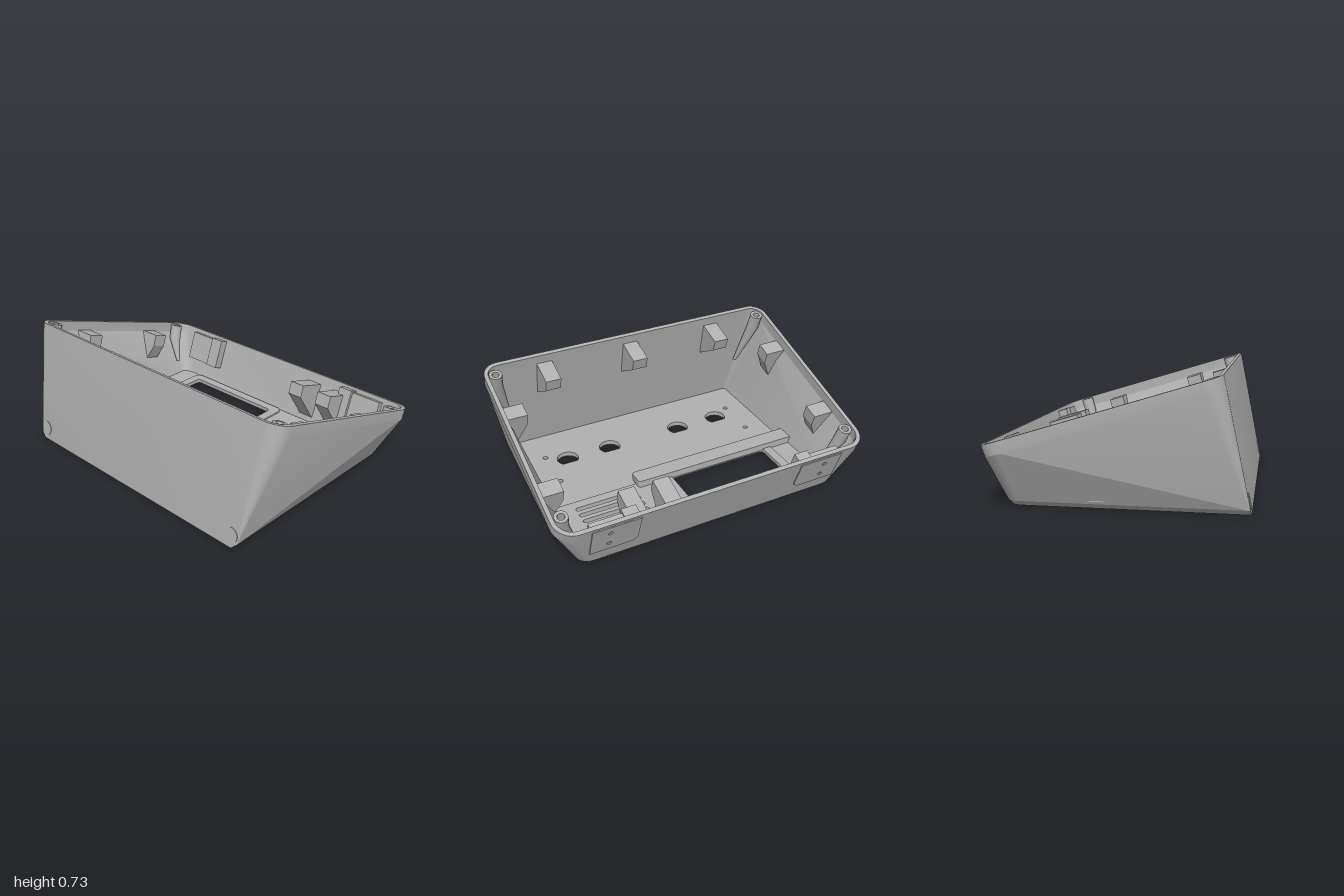
import * as THREE from 'three';
import { toCreasedNormals } from 'three/addons/utils/BufferGeometryUtils.js';

const SLOPE = 0.306; // rise of the tilted rim toward the front
const TILT = -Math.atan(SLOPE);

// Closed rounded rectangle; y follows the given height rule
function ring(w, zf, zb, rf, rb, height) {
  const pts = [], K = 8;
  const corners = [[1, 1], [-1, 1], [-1, -1], [1, -1]];
  corners.forEach(([sx, sz], c) => {
    const r = sz > 0 ? rf : rb;
    const cz = sz > 0 ? zf - r : zb + r;
    for (let k = 0; k <= K; k++) {
      const t = (c + k / K) * Math.PI / 2;
      const z = cz + r * Math.sin(t);
      pts.push([sx * (w - r) + r * Math.cos(t), height(z), z]);
    }
  });
  return pts;
}

// Skin between successive rings
function loft(rings) {
  const pos = [];
  for (let i = 0; i < rings.length - 1; i++) {
    const n = rings[i].length;
    for (let j = 0; j < n; j++) {
      const k = (j + 1) % n;
      const a = rings[i][j], b = rings[i][k], c = rings[i + 1][j], d = rings[i + 1][k];
      const tris = a[0] < 0 ? [a, c, d, a, d, b] : [a, c, b, b, c, d];
      tris.forEach(p => pos.push(...p));
    }
  }
  const g = new THREE.BufferGeometry();
  g.setAttribute('position', new THREE.Float32BufferAttribute(pos, 3));
  return toCreasedNormals(g, 0.26);
}

// Rounded rectangle outline in plan (x, -z)
function roundRect(x0, x1, z0, z1, r, Type = THREE.Path) {
  const p = new Type();
  p.moveTo(x0 + r, -z1);
  p.absarc(x1 - r, -z1 + r, r, -Math.PI / 2, 0);
  p.absarc(x1 - r, -z0 - r, r, 0, Math.PI / 2);
  p.absarc(x0 + r, -z0 - r, r, Math.PI / 2, Math.PI);
  p.absarc(x0 + r, -z1 + r, r, Math.PI, Math.PI * 1.5);
  return p;
}

function circle(x, y, r) {
  const p = new THREE.Path();
  p.absarc(x, y, r, 0, Math.PI * 2);
  return p;
}

function slab(shape, y0, y1) {
  const g = new THREE.ExtrudeGeometry(shape, { depth: y1 - y0, bevelEnabled: false, curveSegments: 10 });
  return g.rotateX(-Math.PI / 2).translate(0, y0, 0);
}

export function createModel() {
  const model = new THREE.Group();
  const grey = new THREE.MeshStandardMaterial({ color: 0xb0b0b0 });
  grey.name = 'grey plastic';
  const add = (name, geo, parent = model) => {
    const m = new THREE.Mesh(geo, grey);
    m.name = name;
    parent.add(m);
    return m;
  };

  // Walls: chamfer, flared side, straight lip, rim, then back down inside
  const rim = z => 0.56 + SLOPE * z, lip = z => 0.49 + SLOPE * z;
  add('walls', loft([
    ring(0.83, 0.72, -0.585, 0.005, 0.06, () => 0),
    ring(0.86, 0.714, -0.61, 0.005, 0.08, () => 0.03),
    ring(1, 0.584, -0.697, 0.1, 0.12, lip),
    ring(1, 0.57, -0.72, 0.1, 0.12, rim),
    ring(0.975, 0.545, -0.695, 0.075, 0.095, rim),
    ring(0.975, 0.559, -0.672, 0.075, 0.095, lip),
    ring(0.825, 0.69, -0.58, 0.01, 0.06, () => 0.03),
  ]));

  // Floor panel with its openings
  const outline = ring(0.83, 0.72, -0.585, 0.005, 0.06, () => 0);
  const floor = new THREE.Shape(outline.map(p => new THREE.Vector2(p[0], -p[2])));
  floor.holes.push(roundRect(-0.69, 0.11, -0.56, -0.11, 0.04));
  const vents = () => [0, 1, 2, 3, 4].map(i => {
    const z = -0.415 + i * 0.06;
    return roundRect(0.31, 0.71, z - 0.015, z + 0.015, 0.0149);
  });
  floor.holes.push(...vents());
  for (const x of [-0.56, -0.26, 0.255, 0.555]) {
    const drop = new THREE.Path();
    drop.moveTo(x, -0.27);
    drop.absarc(x, -0.37, 0.07, Math.PI * 0.75, Math.PI * 0.25);
    floor.holes.push(drop);
  }
  for (const x of [-0.685, 0.685]) for (const z of [0.16, 0.44]) floor.holes.push(circle(x, -z, 0.016));
  const floorGeo = slab(floor, 0, 0.03);
  const fp = floorGeo.attributes.position;
  for (let i = 0; i < fp.count; i++) { // lean the front edge with the front wall
    if (fp.getZ(i) > 0.7) fp.setZ(i, fp.getZ(i) - 0.205 * fp.getY(i));
  }
  add('floor', floorGeo);

  // Thicker rear floor around the display opening
  const rear = roundRect(-0.84, 0.84, -0.575, -0.1, 0.07, THREE.Shape);
  rear.holes.push(roundRect(-0.63, 0.05, -0.51, -0.14, 0.025), ...vents());
  add('rearFloor', slab(rear, 0.03, 0.045));
  const frame = roundRect(-0.69, 0.11, -0.57, -0.11, 0.045, THREE.Shape);
  frame.holes.push(roundRect(-0.63, 0.05, -0.51, -0.14, 0.025));
  add('displayFrame', slab(frame, 0.045, 0.055));
  add('displayBar', slab(roundRect(-0.87, 0.28, -0.15, -0.04, 0.02, THREE.Shape), 0.045, 0.09));

  // Everything that supports the lid sits in the tilted frame of the rim
  const lid = new THREE.Group();
  lid.name = 'lidSupports';
  lid.position.y = 0.56;
  lid.rotation.x = TILT;
  model.add(lid);
  const S = Math.hypot(1, SLOPE);

  const tab = (x, z, turn, reach, foot) => {
    const s = new THREE.Shape([[0, 0], [0, -0.05], [foot, -0.23], [reach, -0.08], [reach, 0]]
      .map(p => new THREE.Vector2(...p)));
    const g = new THREE.ExtrudeGeometry(s, { depth: 0.1, bevelEnabled: false }).translate(0, 0, -0.05);
    const m = add('lidTab', g, lid);
    m.position.set(x, -0.06, z * S);
    m.rotation.y = turn;
  };
  for (const x of [-0.605, 0, 0.595]) tab(x, 0.545, Math.PI / 2, 0.175, 0.03);
  for (const x of [0.295, 0.51]) tab(x, -0.705, -Math.PI / 2, 0.215, 0.03);
  for (const z of [-0.355, 0.215]) {
    tab(-0.98, z, 0, 0.14, 0.07);
    tab(0.98, z, Math.PI, 0.14, 0.07);
  }

  // Corner screw posts: hollow at the top, tapering inward to the wall
  for (const side of [-1, 1]) {
    for (const [z, len] of [[-0.58, 0.25], [0.48, 0.4]]) {
      const profile = [[0, -len], [0.012, -len], [0.04, -0.1], [0.04, 0], [0.022, 0], [0.022, -0.08], [0, -0.08]];
      const g = new THREE.LatheGeometry(profile.map(p => new THREE.Vector2(...p)), 20);
      const p = g.attributes.position;
      for (let i = 0; i < p.count; i++) {
        const drop = Math.max(0, -p.getY(i) - 0.08) / (len - 0.08);
        p.setX(i, p.getX(i) - side * 0.085 * drop);
      }
      const m = add('screwPost', toCreasedNormals(g.toNonIndexed(), 0.5), lid);
      m.position.set(side * 0.93, -0.006, z * S);
    }
  }

  // Hinge mounts on the back wall, in the plane of that wall
  const back = new THREE.Group();
  back.name = 'hingeMounts';
  back.position.set(0, 0.03, -0.61);
  back.rotation.x = -0.341;
  model.add(back);
  for (const s of [-1, 1]) {
    const corners = [[0.52, 0.31], [0.52, 0.12], [0.55, 0.09], [0.81, 0.09], [0.81, 0.31]];
    const plate = new THREE.Shape(corners.map(([x, y]) => new THREE.Vector2(s * x, y)));
    plate.holes.push(circle(s * 0.7, 0.15, 0.014), circle(s * 0.7, 0.25, 0.014));
    add('hingePlate', new THREE.ExtrudeGeometry(plate, { depth: 0.008, bevelEnabled: false })
      .translate(0, 0, -0.006), back);
    add('hingeBacking', new THREE.BoxGeometry(0.2, 0.19, 0.045).translate(s * 0.71, 0.205, 0.0425), back);
    add('hingeRib', new THREE.BoxGeometry(0.09, 0.2, 0.065).translate(s * 0.565, 0.21, 0.0525), back);
  }

  // Round pads low on the front face
  for (const s of [-1, 1]) {
    const pad = add('frontPad', new THREE.CylinderGeometry(0.045, 0.045, 0.008, 28).rotateX(Math.PI / 2));
    pad.position.set(s * 0.815, 0.07, 0.7055);
    pad.rotation.x = -Math.atan(0.204);
  }
  return model;
}
